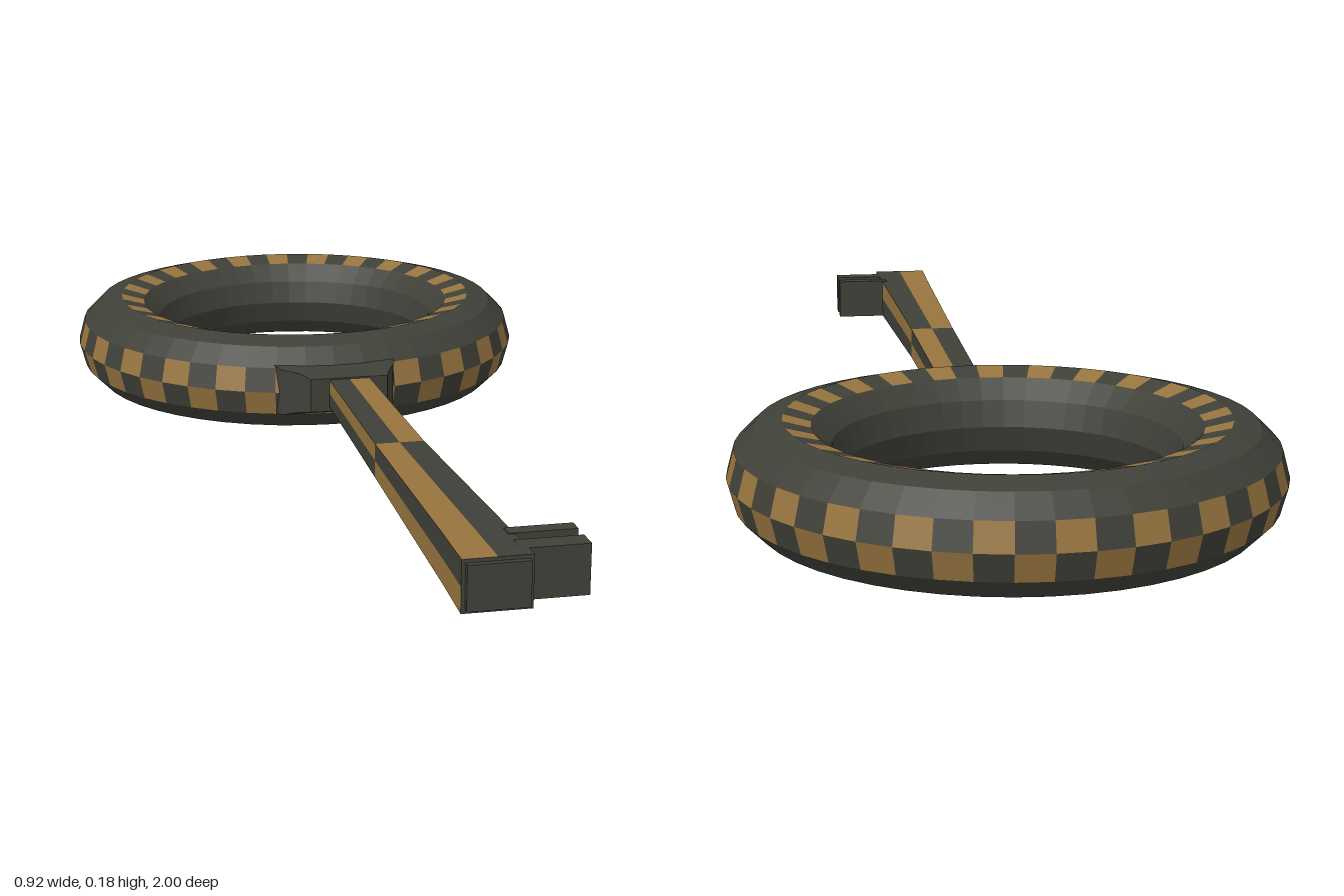
import * as THREE from 'three';

const dark = new THREE.MeshStandardMaterial({ color: 0x3f4038 });
dark.name = 'dark iron';
const tan = new THREE.MeshStandardMaterial({ color: 0x97743f });
tan.name = 'aged brass';

// Skins cross-sections (counter-clockwise seen from ahead); isTan picks the colour of each face.
function loft(name, sections, isTan, loop = false) {
  const darkPos = [], tanPos = [];
  const tri = (out, ...pts) => pts.forEach(p => out.push(...p));
  const n = sections[0].length, count = loop ? sections.length : sections.length - 1;
  for (let i = 0; i < count; i++) {
    const s = sections[i], t = sections[(i + 1) % sections.length];
    for (let j = 0; j < n; j++) {
      const k = (j + 1) % n, out = isTan(i, j) ? tanPos : darkPos;
      tri(out, s[j], s[k], t[k]);
      tri(out, s[j], t[k], t[j]);
    }
  }
  if (!loop) {
    const first = sections[0], last = sections[sections.length - 1];
    for (let j = 1; j < n - 1; j++) {
      tri(darkPos, first[0], first[j + 1], first[j]);
      tri(darkPos, last[0], last[j], last[j + 1]);
    }
  }
  const geo = new THREE.BufferGeometry();
  geo.setAttribute('position', new THREE.Float32BufferAttribute([...darkPos, ...tanPos], 3));
  geo.addGroup(0, darkPos.length / 3, 0);
  if (tanPos.length) geo.addGroup(darkPos.length / 3, tanPos.length / 3, 1);
  geo.computeVertexNormals();
  const mesh = new THREE.Mesh(geo, [dark, tan]);
  mesh.name = name;
  return mesh;
}

// Rectangle with a point in the middle of every side
function rect(z, x0, x1, y0, y1) {
  const xm = (x0 + x1) / 2, ym = (y0 + y1) / 2;
  return [[x1, ym, z], [x1, y1, z], [xm, y1, z], [x0, y1, z],
    [x0, ym, z], [x0, y0, z], [xm, y0, z], [x1, y0, z]];
}

function box(name, x0, x1, y0, y1, z0, z1) {
  const mesh = new THREE.Mesh(new THREE.BoxGeometry(x1 - x0, y1 - y0, z1 - z0), dark);
  mesh.position.set((x0 + x1) / 2, (y0 + y1) / 2, (z0 + z1) / 2);
  mesh.name = name;
  return mesh;
}

export function createModel() {
  const key = new THREE.Group();
  key.name = 'key';

  // Ring handle: twelve-sided tube, checks on the rim and a dashed band on top
  const R = 0.366, r = 0.092, segments = 48, sides = 12;
  const ringSections = [];
  for (let i = 0; i < segments; i++) {
    const phi = -i / segments * Math.PI * 2;
    const section = [];
    for (let j = 0; j < sides; j++) {
      const a = j / sides * Math.PI * 2, d = R + r * Math.cos(a);
      section.push([d * Math.sin(phi), r + r * Math.sin(a), -0.542 + d * Math.cos(phi)]);
    }
    ringSections.push(section);
  }
  const checkedBands = [0, 3, 11];
  key.add(loft('ringHandle', ringSections,
    (i, j) => checkedBands.includes(j) && (i + j) % 2 === 1, true));

  // Collar flaring into the ring
  key.add(loft('collar', [
    rect(-0.14, -0.125, 0.125, 0.045, 0.145),
    rect(-0.09, -0.108, 0.112, 0.05, 0.14),
    rect(-0.065, -0.078, 0.1, 0.06, 0.138),
    rect(-0.03, -0.062, 0.087, 0.07, 0.135),
  ], () => false));

  // Shaft widening towards the tip, with alternating stripes
  key.add(loft('shaft', [
    rect(-0.04, -0.026, 0.052, 0.08, 0.132),
    rect(0.39, -0.03, 0.056, 0.077, 0.137),
    rect(0.875, -0.034, 0.07, 0.071, 0.15),
    rect(0.99, -0.036, 0.073, 0.069, 0.153),
  ], (i, j) => (i === 2 ? j % 2 === 0 && j > 0 : (i + j) % 2 === 1)));
  key.add(box('tip', -0.03, 0.067, 0.075, 0.147, 0.98, 1.0));

  // Bit: a web with ridges along its top and bottom
  const bit = new THREE.Group();
  bit.name = 'bit';
  bit.add(box('bitWeb', 0.06, 0.165, 0.09, 0.132, 0.88, 0.955));
  for (const [z0, z1] of [[0.872, 0.898], [0.925, 0.962]]) {
    bit.add(box('bitRidge', 0.06, 0.168, 0.071, 0.152, z0, z1));
  }
  key.add(bit);
  return key;
}
